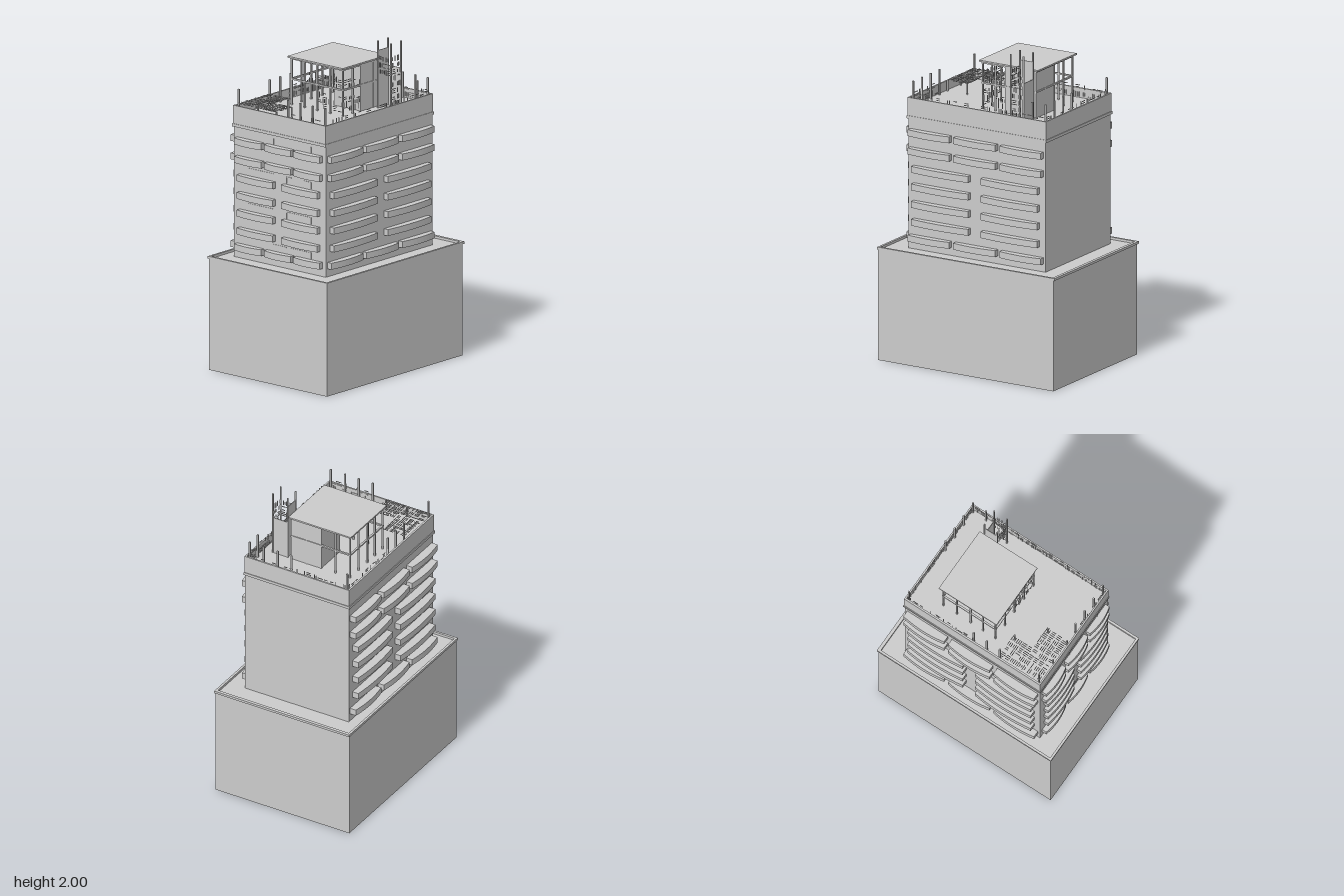
import * as THREE from 'three';
import { mergeGeometries } from 'three/addons/utils/BufferGeometryUtils.js';

const material = new THREE.MeshStandardMaterial({ color: 0xcccccc });

// box geometry given by its extents
function span(x0, x1, y0, y1, z0, z1) {
  return new THREE.BoxGeometry(x1 - x0, y1 - y0, z1 - z0)
    .translate((x0 + x1) / 2, (y0 + y1) / 2, (z0 + z1) / 2);
}

// rectangular ring: outer rectangle with a rectangular opening
function ring(outer, inner, y0, y1) {
  const path = (p, [x0, x1, z0, z1]) =>
    p.moveTo(x0, -z1).lineTo(x1, -z1).lineTo(x1, -z0).lineTo(x0, -z0).closePath();
  const shape = new THREE.Shape();
  path(shape, outer);
  const hole = new THREE.Path();
  path(hole, inner);
  shape.holes.push(hole);
  return new THREE.ExtrudeGeometry(shape, { depth: y1 - y0, bevelEnabled: false })
    .rotateX(-Math.PI / 2).translate(0, y0, 0);
}

// seeded random numbers
function seeded(seed) {
  return () => (seed = (seed * 16807) % 2147483647) / 2147483647;
}

// flat lattice of short sticks, u by v, lying in the xy plane from the origin
function lattice(u, v, seed, fill = 0.9) {
  const rnd = seeded(seed), cell = 0.04, t = 0.004, sticks = [];
  const nu = Math.max(1, Math.round(u / cell)), nv = Math.max(1, Math.round(v / cell));
  for (let i = 0; i < nu; i++) for (let j = 0; j < nv; j++) {
    const upright = rnd() < 0.5;
    for (let k = 0; k < 3; k++) {
      if (rnd() > fill) continue;
      const len = 0.018 + 0.02 * rnd();
      const off = (k - 1) * 0.012;
      const cx = (i + 0.5) * u / nu, cy = (j + 0.5) * v / nv;
      sticks.push(new THREE.BoxGeometry(upright ? t : len, upright ? len : t, t)
        .translate(cx + (upright ? off : 0), cy + (upright ? 0 : off), 0));
    }
  }
  return mergeGeometries(sticks);
}

// balcony bowed outwards along +z, back edge on z = 0
function balcony(width, depth, height) {
  const w = width / 2, s = new THREE.Shape();
  s.moveTo(-w, 0.01).lineTo(w, 0.01).lineTo(w, -depth + 0.014);
  s.quadraticCurveTo(0, -depth - 0.014, -w, -depth + 0.014).closePath();
  return new THREE.ExtrudeGeometry(s, { depth: height, bevelEnabled: false, curveSegments: 10 })
    .rotateX(-Math.PI / 2).scale(1, 1, 1).translate(0, -height / 2, 0);
}

export function createModel() {
  const model = new THREE.Group();
  const add = (name, ...geos) => {
    const mesh = new THREE.Mesh(geos.length > 1 ? mergeGeometries(geos) : geos[0], material);
    mesh.name = name;
    model.add(mesh);
    return mesh;
  };

  // podium with a low rim
  add('podium', span(-0.47, 0.47, 0, 0.695, -0.625, 0.625));
  add('podiumRim', ring([-0.475, 0.475, -0.635, 0.63], [-0.46, 0.46, -0.615, 0.615], 0.695, 0.71));

  // tower body, cornice and parapet
  const deck = 1.58;
  add('towerBody', span(-0.385, 0.345, 0.69, deck, -0.49, 0.49));
  add('cornice', ring([-0.395, 0.35, -0.498, 0.498], [-0.37, 0.33, -0.48, 0.48], 1.508, 1.526));
  add('parapet', ring([-0.39, 0.347, -0.494, 0.494], [-0.378, 0.337, -0.484, 0.484], 1.526, 1.64));

  // balconies: rows of three and rows of two on the front and both sides
  const rows = [[0.765, 3], [0.868, 2], [0.98, 2], [1.09, 2], [1.2, 2], [1.312, 3], [1.427, 3]];
  const frontBays = { 2: [[-0.34, -0.055], [0.013, 0.3]], 3: [[-0.36, -0.148], [-0.123, 0.09], [0.11, 0.32]] };
  const sideBays = { 2: [[-0.447, -0.045], [0.045, 0.45]], 3: [[-0.475, -0.18], [-0.15, 0.15], [0.18, 0.475]] };
  const flipY = (g) => {
    // extrusion along -y of the plan puts the bow on +z
    return g;
  };
  for (const [y, n] of rows) {
    for (const [a, b] of frontBays[n])
      add('frontBalcony', flipY(balcony(b - a, 0.043, 0.04)).translate((a + b) / 2, y, 0.49));
    for (const [a, b] of sideBays[n]) {
      const mid = (a + b) / 2;
      add('leftBalcony', balcony(b - a, 0.045, 0.04).rotateY(Math.PI / 2).translate(0.345, y, mid));
      add('rightBalcony', balcony(b - a, 0.055, 0.04).rotateY(-Math.PI / 2).translate(-0.385, y, mid));
    }
  }

  // thin trim lines on the front wall: x0, x1, y0, y1
  const trims = [
    [-0.27, -0.07, 1.263, 1.268], [0.03, 0.07, 1.263, 1.268], [0.03, 0.034, 1.225, 1.265],
    [0.17, 0.23, 1.263, 1.268], [0.226, 0.23, 1.225, 1.265], [-0.27, -0.07, 1.043, 1.048],
    [0.03, 0.23, 1.043, 1.048], [0.03, 0.034, 1.005, 1.045], [0.226, 0.23, 1.005, 1.045],
    [-0.07, 0.03, 0.823, 0.828], [0.07, 0.23, 0.823, 0.828], [-0.07, -0.066, 0.785, 0.825],
    [0.226, 0.23, 0.785, 0.825], [-0.072, -0.068, 1.447, 1.487], [0.226, 0.23, 1.447, 1.487],
  ];
  add('frontTrim', ...trims.map(([a, b, c, d]) => span(a, b, c, d, 0.488, 0.493)));

  // posts around the roof
  const post = (x, z, top, r = 0.005) => span(x - r, x + r, deck, top, z - r, z + r);
  const spots = [];
  for (const z of [-0.475, 0.47]) for (const x of [-0.365, 0.027, 0.125, 0.222, 0.322]) spots.push([x, z]);
  spots.push([0.322, -0.38], [-0.365, -0.005], [-0.365, 0.09], [-0.365, 0.185]);
  add('roofPosts', ...spots.map(([x, z]) => post(x, z, 1.74)));

  // trellis over the front corner, and lattice along the parapet
  const flat = (u, v, x, z, seed) => lattice(u, v, seed).rotateX(Math.PI / 2).translate(x, 1.65, z);
  add('trellis', flat(0.16, 0.3, -0.375, 0.18, 11), flat(0.15, 0.16, -0.21, 0.32, 23));
  add('trellisLegs', post(-0.212, 0.47, 1.65, 0.004), post(-0.065, 0.47, 1.65, 0.004),
    post(-0.212, 0.19, 1.65, 0.004), post(-0.065, 0.33, 1.65, 0.004));
  add('edgeLattice',
    lattice(0.48, 0.09, 5, 0.6).rotateY(-Math.PI / 2).translate(-0.373, deck, -0.48),
    lattice(0.94, 0.09, 7, 0.6).rotateY(-Math.PI / 2).translate(0.333, deck, -0.47),
    lattice(0.69, 0.09, 9, 0.6).translate(-0.36, deck, -0.48),
    lattice(0.35, 0.09, 13, 0.6).translate(-0.02, deck, 0.48));

  // penthouse: roof plate, solid core, open frame of columns and beams
  add('penthouseRoof', span(-0.29, 0.15, 1.875, 1.885, -0.31, 0.11));
  add('penthouseCore', span(-0.07, 0.138, deck, 1.875, -0.29, -0.07));
  const columns = [];
  for (const x of [-0.272, -0.17, -0.068, 0.034, 0.136])
    for (const z of [-0.288, -0.19, -0.09, 0.0, 0.09])
      if (x < -0.25 || x > 0.12 || z < -0.25 || z > 0.05) columns.push(post(x, z, 1.875));
  add('penthouseColumns', ...columns);
  add('penthouseBeams', ...[1.738, 1.865].map((y) =>
    ring([-0.278, 0.142, -0.295, 0.097], [-0.266, 0.13, -0.283, 0.085], y, y + 0.01)));
  add('penthouseLattice',
    lattice(0.27, 0.08, 31, 0.7).translate(-0.14, 1.74, 0.09),
    lattice(0.2, 0.1, 37, 0.5).translate(-0.07, 1.6, 0.09),
    lattice(0.16, 0.08, 41, 0.7).rotateY(-Math.PI / 2).translate(0.136, 1.74, -0.07),
    lattice(0.16, 0.1, 43, 0.5).rotateY(-Math.PI / 2).translate(0.136, 1.6, -0.07));

  // service mast: four tall posts, two panels, two lattice sides
  const mast = [];
  for (const x of [0.168, 0.272]) for (const z of [-0.287, -0.195]) mast.push(post(x, z, 2.0, 0.004));
  add('mastPosts', ...mast);
  add('mastPanels', span(0.166, 0.17, deck, 1.94, -0.287, -0.195), span(0.168, 0.272, deck, 1.83, -0.289, -0.285));
  add('mastLattice',
    lattice(0.1, 0.12, 51, 0.7).translate(0.17, 1.79, -0.195),
    lattice(0.09, 0.32, 53, 0.8).rotateY(-Math.PI / 2).translate(0.272, 1.6, -0.287));

  return model;
}
